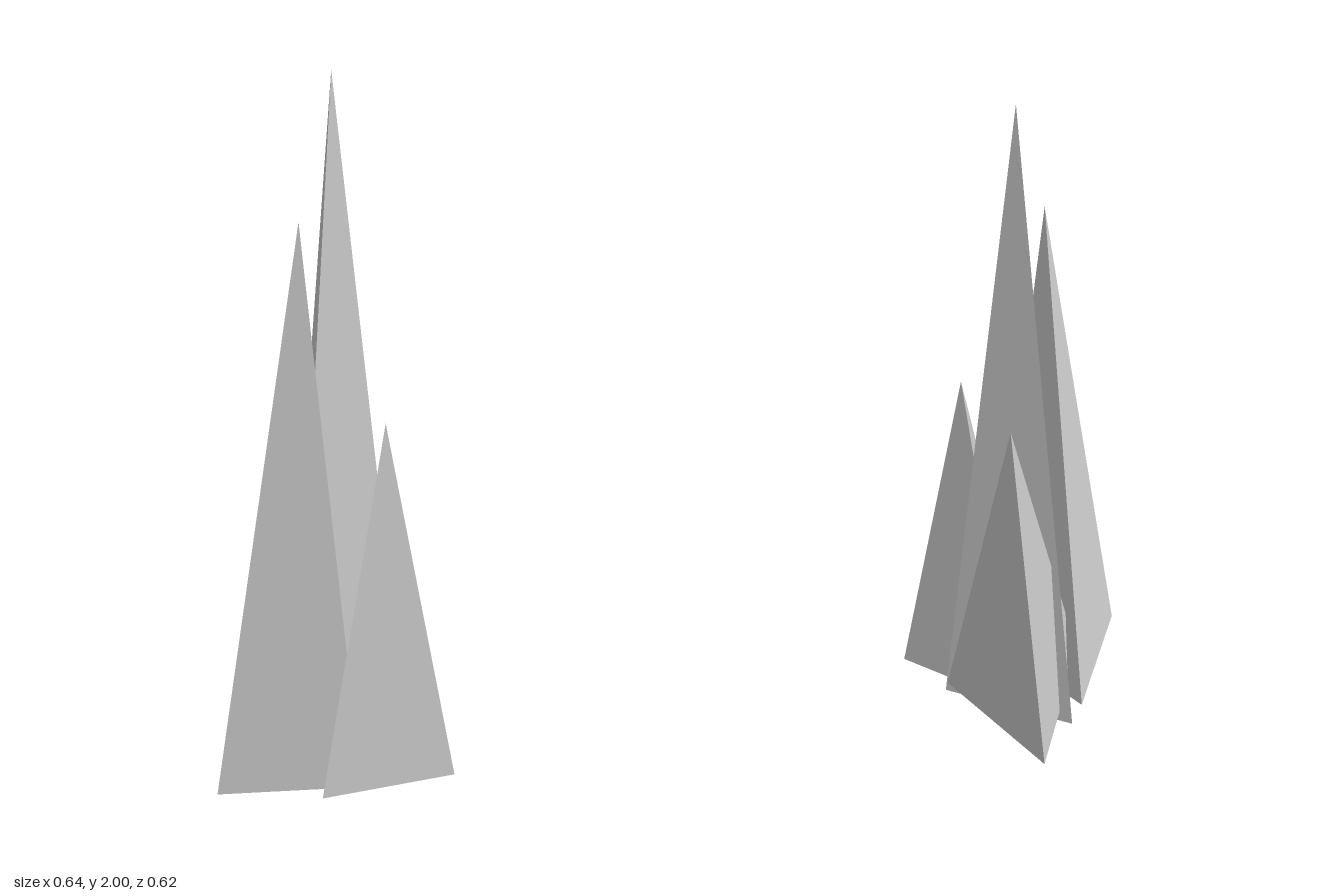
import * as THREE from 'three';

const material = new THREE.MeshStandardMaterial({ color: 0xcccccc, flatShading: true });
const RADIUS = 0.239;

// Three-sided spike from a base centre to a tip, turned so one base corner points at `corner`
function spike(name, base, tip, corner) {
  const b = new THREE.Vector3(...base);
  const up = new THREE.Vector3(...tip).sub(b);
  const height = up.length();
  up.normalize();
  const out = new THREE.Vector3(...corner).sub(b);
  out.addScaledVector(up, -out.dot(up)).normalize();
  const side = new THREE.Vector3().crossVectors(up, out);

  const geometry = new THREE.ConeGeometry(RADIUS, height, 3).toNonIndexed();
  geometry.translate(0, height / 2, 0);
  geometry.applyMatrix4(new THREE.Matrix4().makeBasis(side, up, out).setPosition(b));
  geometry.computeVertexNormals();

  const mesh = new THREE.Mesh(geometry, material);
  mesh.name = name;
  return mesh;
}

export function createModel() {
  const group = new THREE.Group();
  group.name = 'spikeCluster';
  group.add(
    // Upright main spike
    spike('centreSpike', [0.085, 0.01, 0], [0.085, 2, 0], [0.085, 0.01, -0.24]),
    // Smaller spikes leaning outwards around it
    spike('rightSpike', [-0.082, 0.01, 0.011], [-0.08, 1.61, 0.087], [-0.32, 0.01, 0.033]),
    spike('frontSpike', [0.133, 0.02, 0.15], [0.12, 1.06, 0.215], [0.18, 0.035, -0.083]),
    spike('backLeftSpike', [0.158, 0.054, -0.094], [0.317, 1.255, -0.25], [-0.077, 0.088, -0.073]),
  );
  return group;
}
